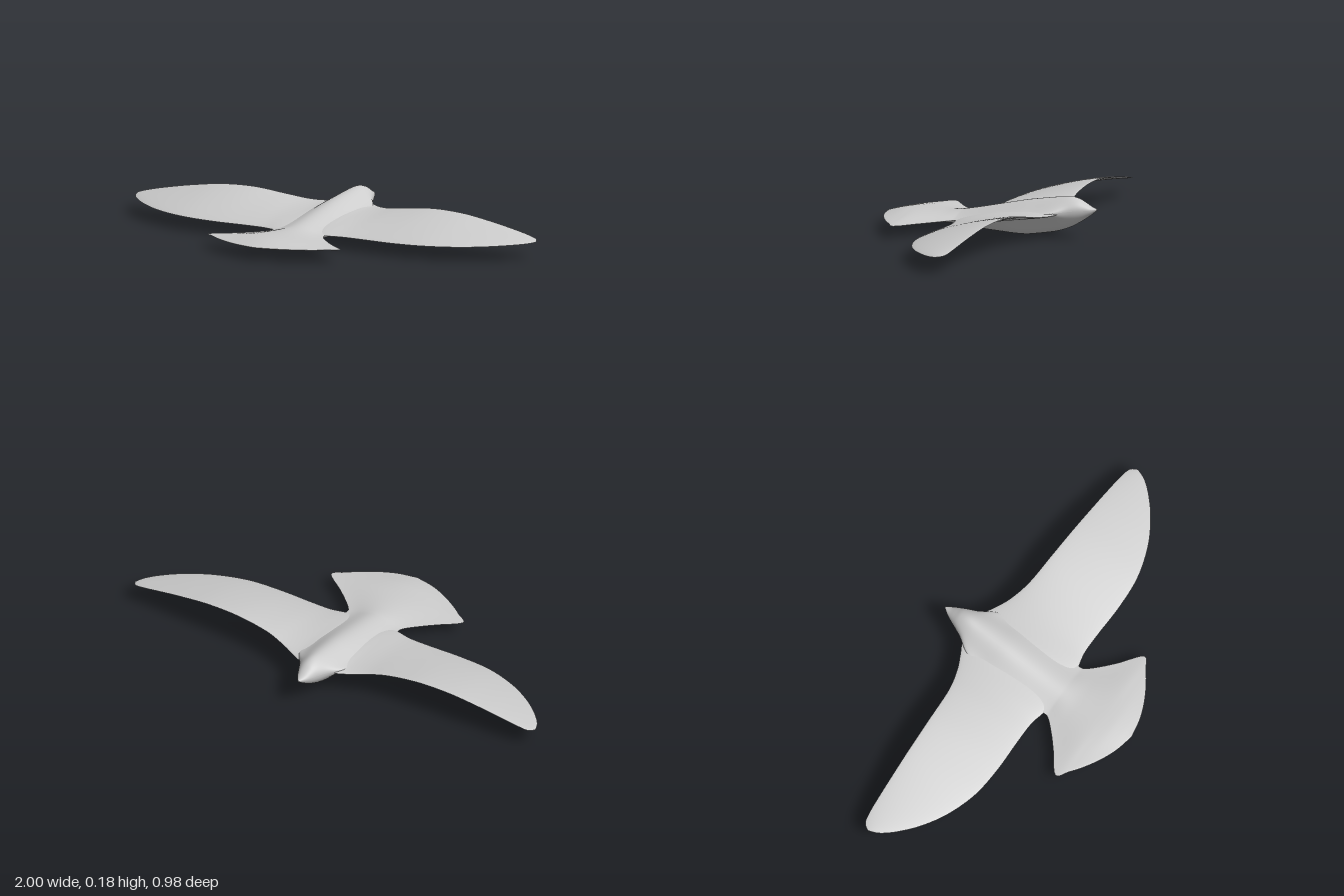
import * as THREE from 'three';

// Smooth (Catmull-Rom) lookup through a list of stations, t in 0..1
function sample(stations, t) {
  const n = stations.length - 1;
  const i = Math.min(Math.floor(t * n), n - 1), f = t * n - i;
  const [a, b, c, d] = [i - 1, i, i + 1, i + 2].map((k) => stations[Math.max(0, Math.min(n, k))]);
  return b.map((_, k) => {
    const m0 = (c[k] - a[k]) / 2, m1 = (d[k] - b[k]) / 2, e = b[k] - c[k];
    return b[k] + f * (m0 + f * (-3 * e - 2 * m0 - m1 + f * (2 * e + m0 + m1)));
  });
}

// Surface patch from point(u, v)
function patch(point, nu, nv, flip) {
  const pos = [], index = [];
  for (let i = 0; i <= nu; i++) {
    for (let j = 0; j <= nv; j++) pos.push(...point(i / nu, j / nv));
  }
  for (let i = 0; i < nu; i++) {
    for (let j = 0; j < nv; j++) {
      const a = i * (nv + 1) + j, b = a + nv + 1;
      if (flip) index.push(a, a + 1, b, b, a + 1, b + 1);
      else index.push(a, b, a + 1, b, b + 1, a + 1);
    }
  }
  const g = new THREE.BufferGeometry();
  g.setAttribute('position', new THREE.Float32BufferAttribute(pos, 3));
  g.setIndex(index);
  g.computeVertexNormals();
  return g;
}

// Body, beak to tail: z, half width, top y, bottom y, edge y, roundness
const BODY = [
  [-0.488, 0.001, 0.133, 0.130, 0.1315, 1],
  [-0.46, 0.021, 0.142, 0.107, 0.128, 1],
  [-0.43, 0.036, 0.158, 0.086, 0.126, 1],
  [-0.40, 0.050, 0.173, 0.067, 0.125, 0.9],
  [-0.36, 0.070, 0.180, 0.046, 0.121, 0.7],
  [-0.30, 0.110, 0.173, 0.025, 0.115, 0.3],
  [-0.22, 0.135, 0.161, 0.010, 0.106, 0],
  [-0.15, 0.140, 0.149, 0.001, 0.098, 0],
  [-0.05, 0.140, 0.127, 0.004, 0.085, 0],
  [0.05, 0.135, 0.105, 0.011, 0.070, 0],
  [0.12, 0.130, 0.091, 0.020, 0.060, 0.1],
  [0.15, 0.140, 0.086, 0.025, 0.057, 0.2],
  [0.20, 0.188, 0.081, 0.030, 0.055, 0.2],
  [0.25, 0.245, 0.080, 0.032, 0.054, 0.2],
  [0.32, 0.330, 0.080, 0.034, 0.054, 0.2],
  [0.36, 0.285, 0.079, 0.035, 0.055, 0.3],
  [0.40, 0.230, 0.076, 0.037, 0.055, 0.4],
  [0.44, 0.160, 0.069, 0.044, 0.056, 0.5],
  [0.47, 0.085, 0.062, 0.051, 0.057, 0.6],
  [0.487, 0.002, 0.058, 0.056, 0.057, 0.6],
];

// Wing, root to tip: x, leading z, trailing z, leading y, trailing y, half thickness
const WING = [
  [0, -0.34, 0.10, 0.115, 0.058, 0.014],
  [0.08, -0.338, 0.118, 0.113, 0.058, 0.014],
  [0.13, -0.315, 0.118, 0.110, 0.058, 0.013],
  [0.20, -0.283, 0.104, 0.116, 0.058, 0.011],
  [0.30, -0.257, 0.103, 0.132, 0.058, 0.009],
  [0.45, -0.246, 0.106, 0.148, 0.058, 0.008],
  [0.60, -0.239, 0.094, 0.145, 0.060, 0.007],
  [0.74, -0.233, 0.050, 0.127, 0.062, 0.006],
  [0.85, -0.228, -0.012, 0.108, 0.065, 0.005],
  [0.93, -0.223, -0.078, 0.092, 0.068, 0.004],
  [0.98, -0.213, -0.135, 0.080, 0.070, 0.003],
  [1.0, -0.188, -0.180, 0.074, 0.072, 0.001],
];

export function createModel() {
  const model = new THREE.Group();
  const plumage = new THREE.MeshStandardMaterial({ color: 0xcccccc });
  const add = (name, geometry) => {
    const mesh = new THREE.Mesh(geometry, plumage);
    mesh.name = name;
    model.add(mesh);
  };

  // Head, body and fan tail: flared flanks at the wings, round head, lens-shaped tail
  const bodyPoint = (upper) => (u, v) => {
    const [z, w, top, bottom, edge, round] = sample(BODY, u);
    const s = -Math.cos(v * Math.PI);
    const flared = 0.5 + 0.5 * Math.cos(Math.PI * s);
    const domed = Math.sqrt(Math.max(0, 1 - s * s));
    const f = flared + (domed - flared) * round;
    return [w * s, edge + ((upper ? top : bottom) - edge) * f, z];
  };
  add('bodyTop', patch(bodyPoint(true), 95, 32, false));
  add('bodyUnderside', patch(bodyPoint(false), 95, 32, true));

  // Wings: thin cambered blades, pitched with the leading edge high
  const wingPoint = (side, upper) => (u, v) => {
    const [x, z0, z1, y0, y1, h] = sample(WING, u);
    const t = 0.5 - 0.5 * Math.cos(v * Math.PI);
    const bulge = 2 * Math.sqrt(Math.max(0, t * (1 - t)));
    const y = y0 + (y1 - y0) * t + 0.6 * h * bulge * bulge + (upper ? h : -h) * bulge;
    return [side * x, y, z0 + (z1 - z0) * t];
  };
  for (const side of [1, -1]) {
    const label = side > 0 ? 'left' : 'right';
    add(label + 'WingTop', patch(wingPoint(side, true), 66, 20, side > 0));
    add(label + 'WingUnderside', patch(wingPoint(side, false), 66, 20, side < 0));
  }
  return model;
}
